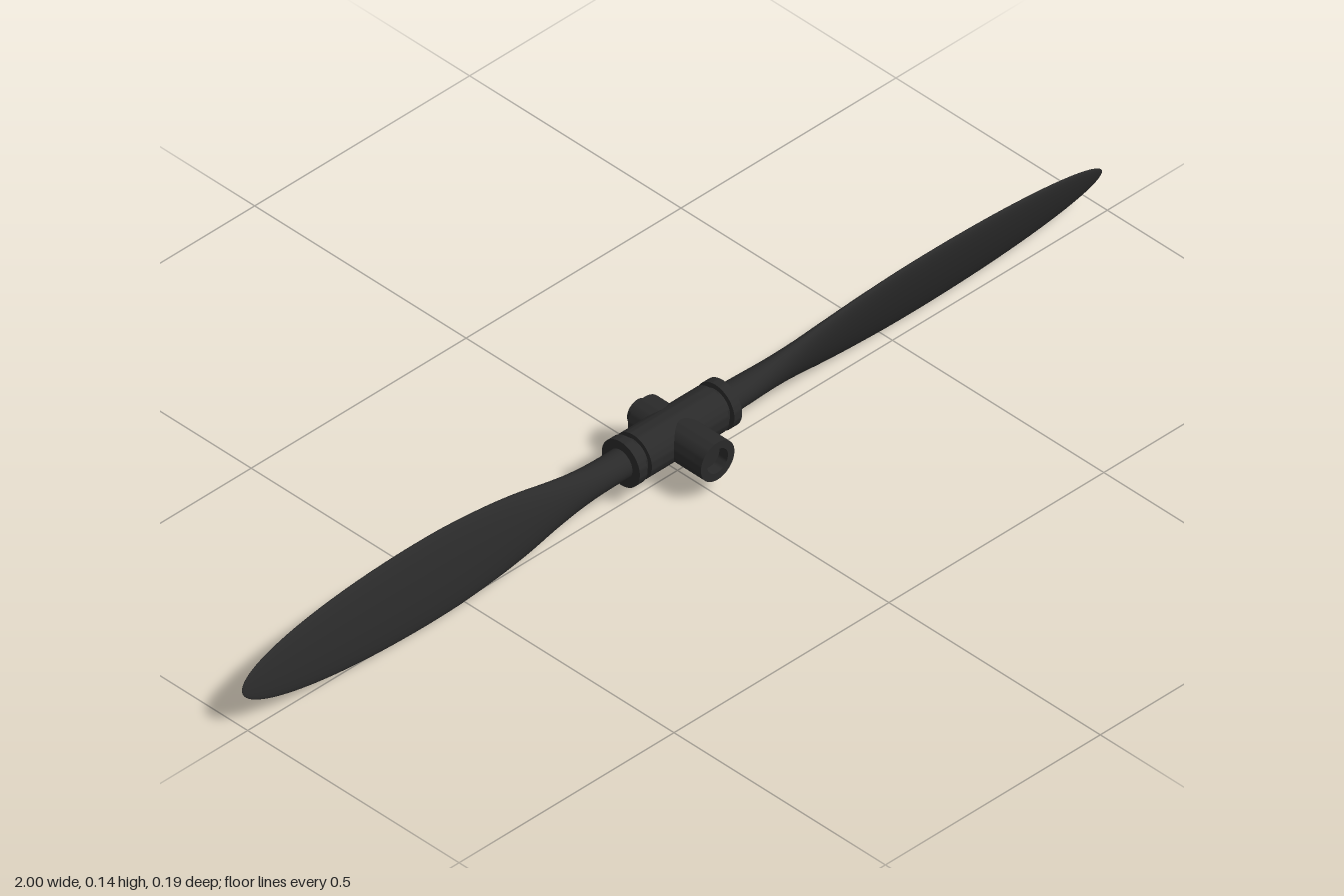
import * as THREE from 'three';
import { mergeVertices, toCreasedNormals } from 'three/addons/utils/BufferGeometryUtils.js';

const AXIS_Y = 0.076, BLADE_Z = -0.013;
const material = new THREE.MeshStandardMaterial({ color: 0x2a2a2a });

function addMesh(parent, name, geometry) {
  const mesh = new THREE.Mesh(geometry, material);
  mesh.name = name;
  parent.add(mesh);
  return mesh;
}

// Turned part: profile of [radius, height] points, crisp at its corners
function turned(points) {
  const lathe = new THREE.LatheGeometry(points.map(([r, h]) => new THREE.Vector2(r, h)), 48);
  return toCreasedNormals(lathe, 0.6);
}

// Blade: elliptical sections from a round root to a broad, thin, rounded tip
function bladeGeometry() {
  const rows = 56, rootX = 0.1, wideX = 0.58, halfChord = 0.075;
  const curve = (pts) => new THREE.SplineCurve(pts.map((p) => new THREE.Vector2(...p)));
  const chord = curve([[0.1, 0.028], [0.16, 0.028], [0.22, 0.033], [0.28, 0.043],
    [0.34, 0.055], [0.4, 0.064], [0.46, 0.07], [0.52, 0.074], [0.58, 0.075]]);
  const thickness = curve([[0.1, 0.028], [0.16, 0.026], [0.22, 0.022], [0.28, 0.018],
    [0.34, 0.0155], [0.4, 0.0135], [0.46, 0.0125], [0.52, 0.012], [0.58, 0.012]]);
  const geo = new THREE.CylinderGeometry(1, 1, 1, 32, rows, true);
  geo.rotateZ(-Math.PI / 2);
  const pos = geo.attributes.position;
  for (let i = 0; i < pos.count; i++) {
    const t = pos.getX(i) + 0.5;
    let x, w, d;
    if (t < 0.5) {
      const p = chord.getPoint(t * 2);
      x = p.x;
      w = p.y;
      d = thickness.getPoint(t * 2).y;
    } else {
      const a = (t - 0.5) * Math.PI;
      x = wideX + (1 - wideX) * Math.sin(a);
      w = halfChord * Math.cos(a);
      d = 0.012 * Math.cos(a);
    }
    pos.setXYZ(i, Math.max(x, rootX), pos.getY(i) * w, pos.getZ(i) * d);
  }
  geo.deleteAttribute('uv');
  geo.deleteAttribute('normal');
  const welded = mergeVertices(geo, 1e-5);
  welded.computeVertexNormals();
  welded.rotateX(THREE.MathUtils.degToRad(15)); // blade pitch
  return welded;
}

export function createModel() {
  const model = new THREE.Group();
  model.name = 'propeller';

  // Shaft sleeve along z, with a recessed bore in front
  const sleeve = addMesh(model, 'shaftSleeve', turned([
    [0, -0.078], [0.039, -0.078], [0.039, 0.095], [0.024, 0.095], [0.024, 0.075], [0, 0.075],
  ]));
  sleeve.rotation.x = Math.PI / 2;
  sleeve.position.y = AXIS_Y;

  // Small shaft end at the back
  const shaft = addMesh(model, 'shaftEnd', turned([
    [0, -0.095], [0.024, -0.095], [0.024, -0.07], [0, -0.07],
  ]));
  shaft.rotation.x = Math.PI / 2;
  shaft.position.y = AXIS_Y;

  // Hub barrel across x
  const hub = addMesh(model, 'hubBarrel', turned([
    [0, -0.09], [0.044, -0.09], [0.044, 0.09], [0, 0.09],
  ]));
  hub.rotation.z = -Math.PI / 2;
  hub.position.set(0, AXIS_Y, BLADE_Z);

  // Two blades, each with its neck and clamp collar, half a turn apart
  const blade = bladeGeometry();
  const neck = turned([[0, 0.085], [0.035, 0.085], [0.035, 0.105], [0, 0.105]]);
  const collar = turned([[0, 0.101], [0.045, 0.101], [0.045, 0.119], [0.03, 0.119], [0, 0.119]]);
  ['left', 'right'].forEach((side, i) => {
    const arm = new THREE.Group();
    arm.name = side + 'BladeAssembly';
    arm.position.set(0, AXIS_Y, BLADE_Z);
    arm.rotation.z = i * Math.PI;
    addMesh(arm, side + 'Blade', blade);
    addMesh(arm, side + 'Neck', neck).rotation.z = -Math.PI / 2;
    addMesh(arm, side + 'Collar', collar).rotation.z = -Math.PI / 2;
    model.add(arm);
  });

  return model;
}
